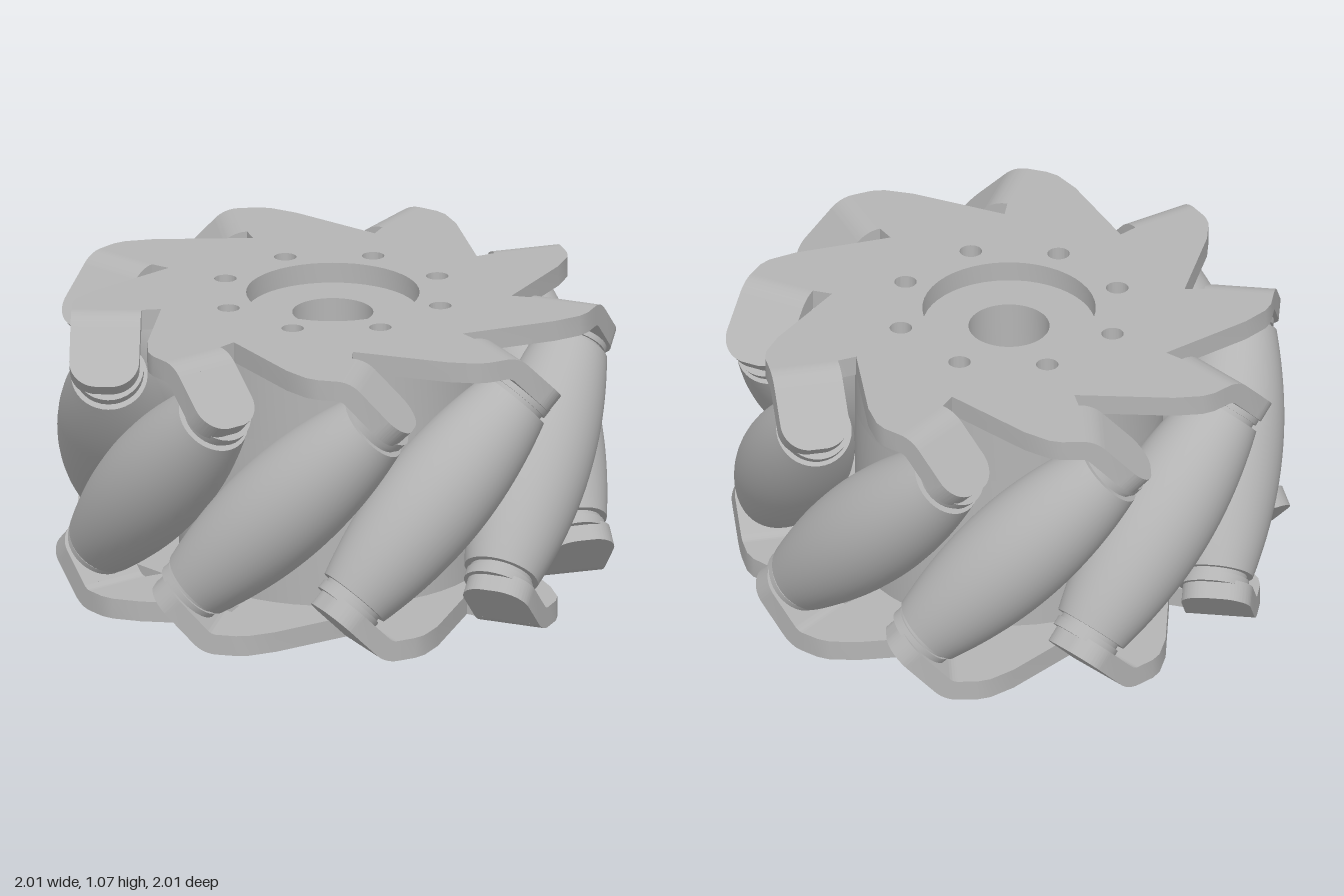
import * as THREE from 'three';
import { toCreasedNormals } from 'three/addons/utils/BufferGeometryUtils.js';

const COUNT = 9, H = 1.07, T = 0.075;      // rollers, wheel height, plate thickness
const AXIS_R = 0.785, OUTER_R = 0.985;     // roller axis radius, wheel radius
const IN = 0.675, OUT = 0.925;             // radial span of a bracket tab
const FOLD = 0.22;                         // where the plate starts to fold
const HOLE_TURN = 0.035;                   // screw circle angle against the rollers
const STEP = (2 * Math.PI) / COUNT;

const grey = new THREE.MeshStandardMaterial({ color: 0xb4b4b4 });
grey.name = 'grey';

function mesh(name, geometry) {
  const m = new THREE.Mesh(toCreasedNormals(geometry, 0.5), grey);
  m.name = name;
  return m;
}

// Extrude a plan shape (x, -z) upward from y0 to y1
function slab(shape, y0, y1) {
  const g = new THREE.ExtrudeGeometry(shape, { depth: y1 - y0, bevelEnabled: false, curveSegments: 24 });
  return g.rotateX(-Math.PI / 2).translate(0, y0, 0);
}

function circle(r, x = 0, y = 0) {
  return new THREE.Path().absarc(x, y, r, 0, Math.PI * 2, true);
}

function addScrewHoles(shape, turn) {
  for (let i = 0; i < 8; i++) {
    const a = (i * Math.PI) / 4 + turn;
    shape.holes.push(circle(0.04, 0.41 * Math.sin(a), -0.41 * Math.cos(a)));
  }
  return shape;
}

// Saw-toothed side plate with centre recess
function plateGeometry(turn) {
  const tooth = [[0.02, 0.851], [0.105, 0.912], [0.15, OUT], [FOLD, OUT], [FOLD, IN], [0.208, 0.605]];
  const pts = [];
  for (let k = 0; k < COUNT; k++) {
    const c = Math.cos(k * STEP), s = Math.sin(k * STEP);
    for (const [x, z] of tooth) pts.push(new THREE.Vector2(x * c + z * s, x * s - z * c));
  }
  const shape = addScrewHoles(new THREE.Shape(pts), turn);
  shape.holes.push(circle(0.31));
  return slab(shape, H - T, H);
}

// Curved fold between plate and tab
function foldGeometry() {
  const s = new THREE.Shape();
  s.absarc(FOLD, H - 0.12, 0.12, Math.PI / 4, Math.PI / 2, false);
  s.absarc(FOLD, H - 0.12, 0.12 - T, Math.PI / 2, Math.PI / 4, true);
  s.closePath();
  return new THREE.ExtrudeGeometry(s, { depth: OUT - IN, bevelEnabled: false, curveSegments: 6 })
    .translate(0, 0, IN);
}

// Tab with rounded end, square to the roller axis
function tabGeometry() {
  const u0 = 0.0497, u1 = 0.288, r = 0.1;
  const s = new THREE.Shape();
  s.moveTo(u0, -OUT);
  s.lineTo(u1 - r, -OUT);
  s.absarc(u1 - r, -OUT + r, r, -Math.PI / 2, 0, false);
  s.absarc(u1 - r, -IN - r, r, 0, Math.PI / 2, false);
  s.lineTo(u0, -IN);
  s.closePath();
  return slab(s, -T, 0).rotateZ(-Math.PI / 4).translate(FOLD + u0, H, 0);
}

// Barrel roller whose bulge follows the wheel's outer cylinder
function rollerGeometry() {
  const half = 0.455, pts = [new THREE.Vector2(0, -half)];
  for (let i = 0; i <= 24; i++) {
    const s = -half + (2 * half * i) / 24;
    pts.push(new THREE.Vector2(OUTER_R - Math.sqrt(AXIS_R ** 2 + (s * s) / 2), s));
  }
  pts.push(new THREE.Vector2(0, half));
  return new THREE.LatheGeometry(pts, 40);
}

// One side: plate plus its folded brackets
function side(name, turn) {
  const g = new THREE.Group();
  g.name = name;
  g.add(mesh('plate', plateGeometry(turn)));
  for (let k = 0; k < COUNT; k++) {
    const bracket = new THREE.Group();
    bracket.name = 'bracket';
    bracket.rotation.y = k * STEP;
    bracket.add(mesh('fold', foldGeometry()), mesh('tab', tabGeometry()));
    g.add(bracket);
  }
  return g;
}

function hubLayer(name, bore, y0, y1) {
  const disc = new THREE.Shape().absarc(0, 0, 0.55, 0, Math.PI * 2, false);
  const shape = addScrewHoles(disc, HOLE_TURN);
  shape.holes.push(bore);
  return mesh(name, slab(shape, y0, y1));
}

export function createModel() {
  const model = new THREE.Group();
  model.name = 'rollerWheel';
  const wheel = new THREE.Group();
  wheel.name = 'wheel';
  wheel.rotation.y = THREE.MathUtils.degToRad(24.3);
  wheel.position.set(-0.007, 0, -0.005);
  model.add(wheel);

  // Side plates: the lower one is the upper one turned over
  const lower = side('lowerSide', -HOLE_TURN);
  lower.rotation.z = Math.PI;
  lower.position.y = H;
  wheel.add(side('upperSide', HOLE_TURN), lower);

  // Hub: round counterbore above, small through bore, hex socket below
  const hex = new THREE.Path();
  for (let i = 0; i < 6; i++) {
    const a = Math.PI / 6 + HOLE_TURN - (i * Math.PI) / 3;
    hex[i ? 'lineTo' : 'moveTo'](0.175 * Math.cos(a), 0.175 * Math.sin(a));
  }
  hex.closePath();
  wheel.add(
    hubLayer('hubTop', circle(0.145), 0.68, H - T),
    hubLayer('hubMiddle', circle(0.06), 0.36, 0.68),
    hubLayer('hubSocket', hex, T, 0.36)
  );

  // Slanted rollers with end collars
  for (let k = 0; k < COUNT; k++) {
    const arm = new THREE.Group();
    arm.name = 'rollerMount';
    arm.rotation.y = k * STEP;
    const unit = new THREE.Group();
    unit.name = 'rollerUnit';
    unit.position.set(0, H / 2, AXIS_R);
    unit.rotation.z = -Math.PI / 4;
    unit.add(mesh('roller', rollerGeometry()));
    for (const sign of [-1, 1]) {
      const neck = mesh('neck', new THREE.CylinderGeometry(0.115, 0.115, 0.05, 32));
      neck.position.y = sign * 0.465;
      const collar = mesh('collar', new THREE.CylinderGeometry(0.124, 0.124, 0.035, 32));
      collar.position.y = sign * 0.49;
      unit.add(neck, collar);
    }
    arm.add(unit);
    wheel.add(arm);
  }
  return model;
}
